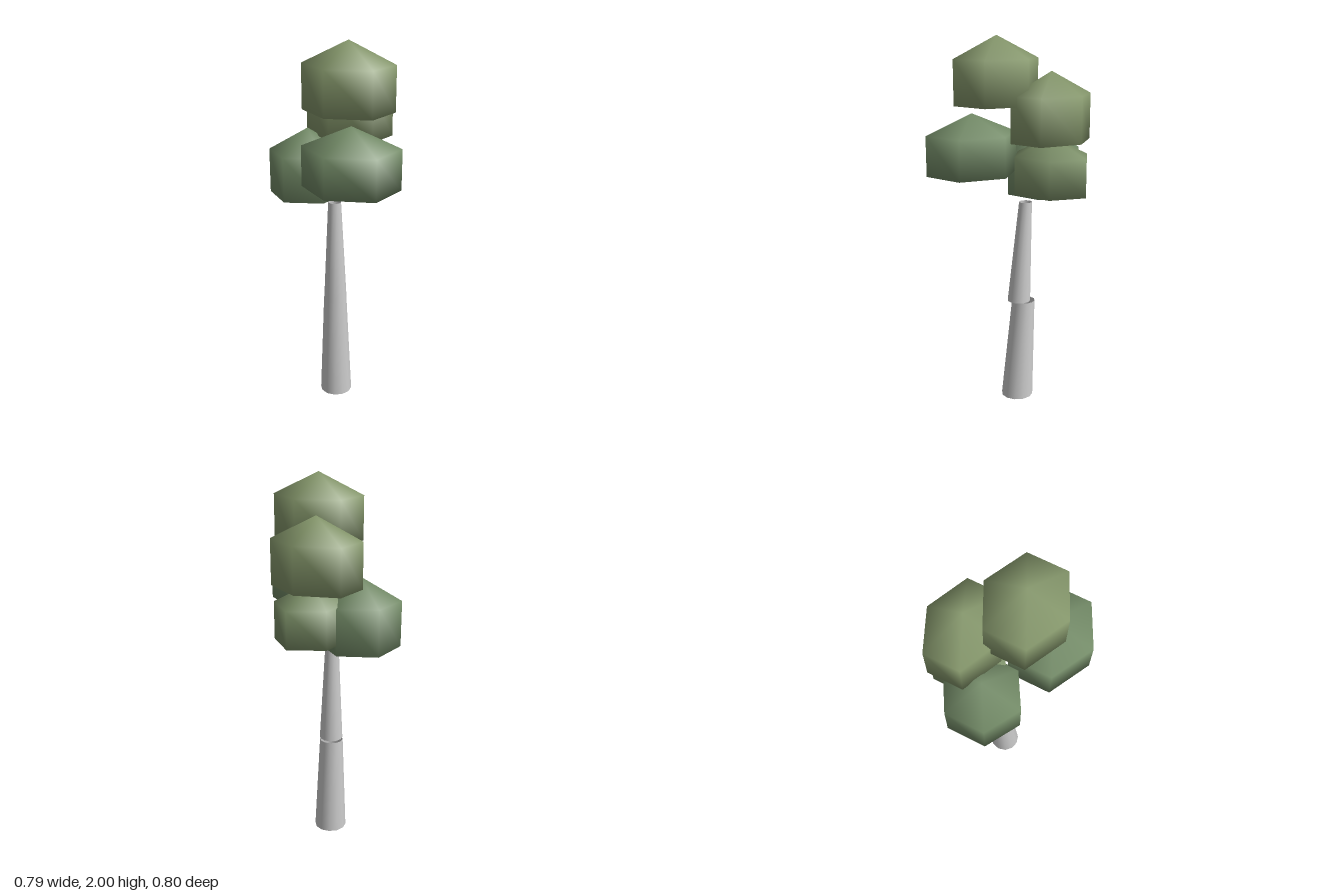
import * as THREE from 'three';

// Open tapered tube whose rings stay level while its axis leans
function leaningTube(name, [x0, y0, z0, r0], [x1, y1, z1, r1]) {
  const h = y1 - y0;
  const geo = new THREE.CylinderGeometry(r1, r0, h, 12, 1, true);
  const pos = geo.attributes.position;
  for (let i = 0; i < pos.count; i++) {
    const t = pos.getY(i) / h + 0.5;
    pos.setX(i, pos.getX(i) + x0 + (x1 - x0) * t);
    pos.setY(i, y0 + h * t);
    pos.setZ(i, pos.getZ(i) + z0 + (z1 - z0) * t);
  }
  const mesh = new THREE.Mesh(
    geo, new THREE.MeshStandardMaterial({ color: 0xcccccc, side: THREE.DoubleSide }));
  mesh.name = name;
  return mesh;
}

// Six-sided low-poly sphere with its lowest third left off
const puffGeometry = () =>
  new THREE.SphereGeometry(1, 6, 2, 0, Math.PI * 2, 0, Math.PI * 2 / 3);

export function createModel() {
  const tree = new THREE.Group();
  tree.name = 'tree';

  // Trunk in two stepped lengths: [x, y, z, radius] at each end
  tree.add(
    leaningTube('lowerTrunk', [-0.03, 0, -0.02, 0.088], [-0.004, 0.567, -0.043, 0.063]),
    leaningTube('upperTrunk', [-0.023, 0.567, -0.028, 0.063], [0.004, 1.128, -0.051, 0.035]),
  );

  // Foliage: centre x, bottom y, centre z, half width, height, half depth, colour
  const olive = 0x86986c, green = 0x748c68;
  const puffs = [
    ['topFoliage', -0.073, 1.655, 0.09, 0.208, 0.345, 0.21, olive],
    ['upperLeftFoliage', 0.16, 1.47, -0.065, 0.19, 0.355, 0.212, olive],
    ['frontRightFoliage', -0.171, 1.297, 0.176, 0.228, 0.313, 0.221, green],
    ['backFoliage', -0.004, 1.153, -0.22, 0.212, 0.36, 0.18, green],
    ['lowerLeftFoliage', 0.171, 1.203, -0.053, 0.221, 0.293, 0.163, 0x7c9068],
  ];
  for (const [name, x, y, z, halfW, height, halfD, color] of puffs) {
    const puff = new THREE.Mesh(
      puffGeometry(), new THREE.MeshStandardMaterial({ color, side: THREE.DoubleSide }));
    puff.name = name;
    puff.scale.set(halfW / 0.866, height / 1.5, halfD / 0.75);
    puff.position.set(x, y + height / 3, z);
    tree.add(puff);
  }
  return tree;
}
